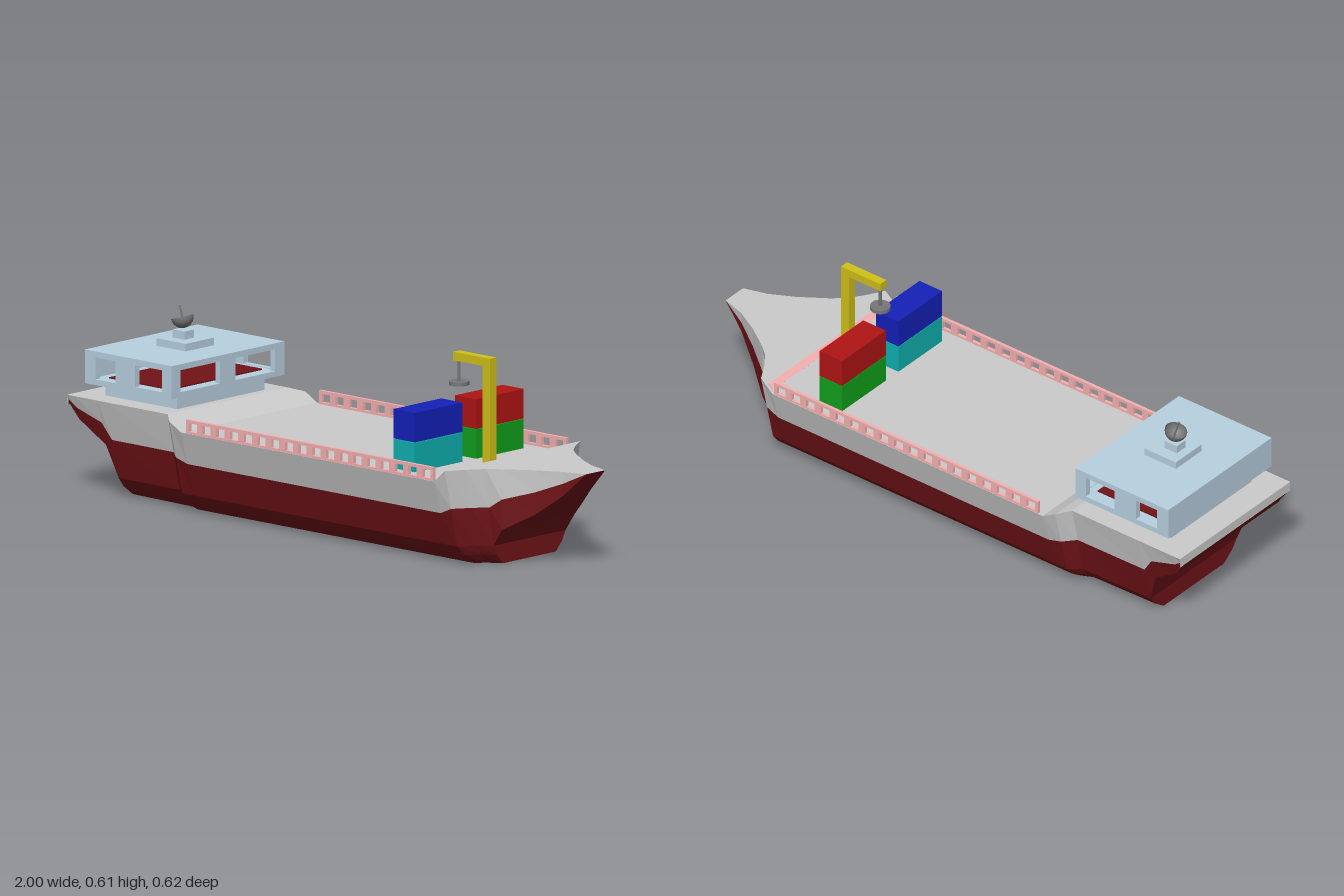
import * as THREE from 'three';

const paint = (color, side = THREE.FrontSide) =>
  new THREE.MeshStandardMaterial({ color, side, flatShading: true });

const GREY = paint(0xcccccc);
const RED = paint(0x701318);
const HOUSE = paint(0xb8d0e0);
const YELLOW = paint(0xd0c018);
const PINK = paint(0xf5b0b0);
const DARK = paint(0x777777, THREE.DoubleSide);

// Hull stations from stern to bow: x, deckY, deckHalfWidth, chineY, chineHalfWidth, keelHalfWidth, keelY
const STATIONS = [
  [-1, 0.28, 0.275, 0.28, 0.26, 0.2, 0.28],
  [-1, 0.312, 0.275, 0.28, 0.26, 0.2, 0.28],
  [-0.97, 0.312, 0.275, 0.235, 0.25, 0.18, 0.235],
  [-0.87, 0.312, 0.275, 0.165, 0.235, 0.165, 0.165],
  [-0.835, 0.312, 0.275, 0.062, 0.215, 0.15, 0.062],
  [-0.835, 0.312, 0.275, 0.062, 0.215, 0.15, 0],
  [-0.57, 0.312, 0.275, 0.062, 0.22, 0.16, 0],
  [-0.53, 0.3, 0.31, 0.062, 0.25, 0.18, 0],
  [-0.48, 0.272, 0.31, 0.062, 0.25, 0.18, 0],
  [0.6, 0.272, 0.31, 0.062, 0.25, 0.18, 0],
  [0.645, 0.312, 0.31, 0.062, 0.25, 0.18, 0],
  [0.68, 0.312, 0.25, 0.062, 0.2, 0.145, 0],
  [0.717, 0.312, 0.2, 0.062, 0.165, 0.12, 0],
  [0.717, 0.312, 0.2, 0.062, 0.165, 0.12, 0.062],
  [0.755, 0.312, 0.168, 0.118, 0.165, 0.12, 0.118],
  [0.84, 0.312, 0.11, 0.17, 0.105, 0.08, 0.17],
  [0.92, 0.312, 0.067, 0.235, 0.062, 0.05, 0.235],
  [1, 0.312, 0.043, 0.312, 0.043, 0.03, 0.312],
];

// Half section of one station, from the paint line outwards
function sectionRows([x, dy, dw, cy, cw, kw, ky]) {
  const p = (y, z) => [x, y, z];
  return {
    deck: p(dy, dw),
    line: p((dy + cy) / 2, (dw + cw) / 2),
    chine: p(cy, cw),
    bilge: p((cy + ky) / 2, kw + 0.64 * (cw - kw)),
    keel: p(ky, kw),
  };
}
const flip = ([x, y, z]) => [x, y, -z];

// Skin a row of equal-length sections
function loft(sections) {
  const pos = [];
  for (let i = 0; i < sections.length - 1; i++) {
    for (let j = 0; j < sections[i].length - 1; j++) {
      const a = sections[i][j], b = sections[i + 1][j];
      const c = sections[i + 1][j + 1], d = sections[i][j + 1];
      pos.push(...a, ...d, ...c, ...a, ...c, ...b);
    }
  }
  const geo = new THREE.BufferGeometry();
  geo.setAttribute('position', new THREE.Float32BufferAttribute(pos, 3));
  geo.computeVertexNormals();
  return geo;
}

function rectPath(target, x0, x1, y0, y1) {
  target.moveTo(x0, y0);
  target.lineTo(x1, y0);
  target.lineTo(x1, y1);
  target.lineTo(x0, y1);
  target.closePath();
  return target;
}

// Upright panel with rectangular openings, centred on z
function panel([x0, x1, y0, y1], openings, depth) {
  const shape = rectPath(new THREE.Shape(), x0, x1, y0, y1);
  for (const o of openings) shape.holes.push(rectPath(new THREE.Path(), ...o));
  return new THREE.ExtrudeGeometry(shape, { depth, bevelEnabled: false }).translate(0, 0, -depth / 2);
}

export function createModel() {
  const ship = new THREE.Group();
  ship.name = 'cargoShip';

  const add = (name, geo, mat, x = 0, y = 0, z = 0, parent = ship) => {
    const mesh = new THREE.Mesh(geo, mat);
    mesh.name = name;
    mesh.position.set(x, y, z);
    parent.add(mesh);
    return mesh;
  };
  // Box given by its limits
  const block = (name, mat, x0, x1, y0, y1, z0, z1, parent = ship) =>
    add(name, new THREE.BoxGeometry(x1 - x0, y1 - y0, z1 - z0), mat,
      (x0 + x1) / 2, (y0 + y1) / 2, (z0 + z1) / 2, parent);
  const group = (name) => {
    const g = new THREE.Group();
    g.name = name;
    ship.add(g);
    return g;
  };

  // Hull: red below the paint line, grey sides and deck above
  const rows = STATIONS.map(sectionRows);
  add('lowerHull', loft(rows.map(({ line, chine, bilge, keel }) => {
    const half = [line, chine, bilge, keel];
    return [...half, ...half.map(flip).reverse()];
  })), RED);
  add('upperHullAndDeck', loft(rows.map(({ line, deck }) =>
    [flip(line), flip(deck), deck, line])), GREY);

  // Railings along both sides, and a strip on the ramp to the foredeck
  const cells = 18, start = -0.46, pitch = 1.055 / cells;
  const gaps = Array.from({ length: cells }, (_, i) => {
    const mid = start + (i + 0.5) * pitch;
    return [mid - 0.017, mid + 0.017, 0.279, 0.306];
  });
  for (const side of [1, -1]) {
    add(side > 0 ? 'leftRailing' : 'rightRailing',
      panel([start, start + 1.055, 0.27, 0.316], gaps, 0.011), PINK, 0, 0, side * 0.303);
  }
  const strip = add('rampStrip', new THREE.BoxGeometry(0.024, 0.006, 0.6), PINK, 0.615, 0.286, 0);
  strip.rotation.z = Math.atan2(0.04, 0.045);

  // Bridge house
  const house = group('bridgeHouse');
  block('houseBase', HOUSE, -0.905, -0.6, 0.31, 0.358, -0.2, 0.2, house);
  block('houseFloor', HOUSE, -0.94, -0.57, 0.355, 0.371, -0.257, 0.257, house);
  block('floorCovering', RED, -0.88, -0.62, 0.371, 0.375, -0.21, 0.21, house);
  block('houseRoof', HOUSE, -0.94, -0.57, 0.445, 0.462, -0.257, 0.257, house);
  block('sternWall', HOUSE, -0.94, -0.92, 0.371, 0.445, -0.257, 0.257, house);
  for (const side of [1, -1]) {
    add('sideWall', panel([-0.92, -0.57, 0.37, 0.446],
      [[-0.895, -0.81, 0.373, 0.443], [-0.725, -0.61, 0.373, 0.443]], 0.02),
    HOUSE, 0, 0, side * 0.247, house);
  }
  const foreWall = add('foreWall', panel([-0.237, 0.237, 0.37, 0.446],
    [[-0.215, -0.035, 0.373, 0.443], [0.035, 0.215, 0.373, 0.443]], 0.02),
  HOUSE, -0.58, 0, 0, house);
  foreWall.rotation.y = Math.PI / 2;

  // Roof plinth with satellite dish
  block('dishPlinth', HOUSE, -0.815, -0.69, 0.462, 0.486, -0.064, 0.064, house);
  block('dishPedestal', HOUSE, -0.785, -0.735, 0.486, 0.512, -0.022, 0.022, house);
  const dish = group('satelliteDish');
  dish.position.set(-0.765, 0.552, 0);
  dish.rotation.z = 0.3;
  add('dishBowl', new THREE.SphereGeometry(0.036, 20, 10, 0, Math.PI * 2, Math.PI / 2, Math.PI / 2),
    new THREE.MeshStandardMaterial({ color: 0x777777, side: THREE.DoubleSide }), 0, 0, 0, dish);
  add('dishAntenna', new THREE.CylinderGeometry(0.003, 0.003, 0.07, 8), DARK, 0, 0.002, 0, dish);

  // Two stacks of containers
  const stacks = [[1, 0x10b0b0, 0x1420b8], [-1, 0x12a01c, 0xb01414]];
  for (const [side, low, high] of stacks) {
    const z = side * 0.14;
    add('lowerContainer', new THREE.BoxGeometry(0.09, 0.094, 0.217), paint(low), 0.415, 0.318, z);
    add('upperContainer', new THREE.BoxGeometry(0.09, 0.094, 0.217), paint(high), 0.415, 0.414, z);
  }

  // Crane with hanging lifting plate
  const crane = group('crane');
  block('cranePost', YELLOW, 0.53, 0.562, 0.27, 0.612, -0.015, 0.015, crane);
  block('craneArm', YELLOW, 0.405, 0.53, 0.585, 0.612, -0.015, 0.015, crane);
  add('craneCable', new THREE.CylinderGeometry(0.005, 0.005, 0.07, 8), DARK, 0.417, 0.552, 0, crane);
  add('liftingPlate', new THREE.CylinderGeometry(0.032, 0.032, 0.012, 24), DARK, 0.417, 0.513, 0, crane);

  return ship;
}
